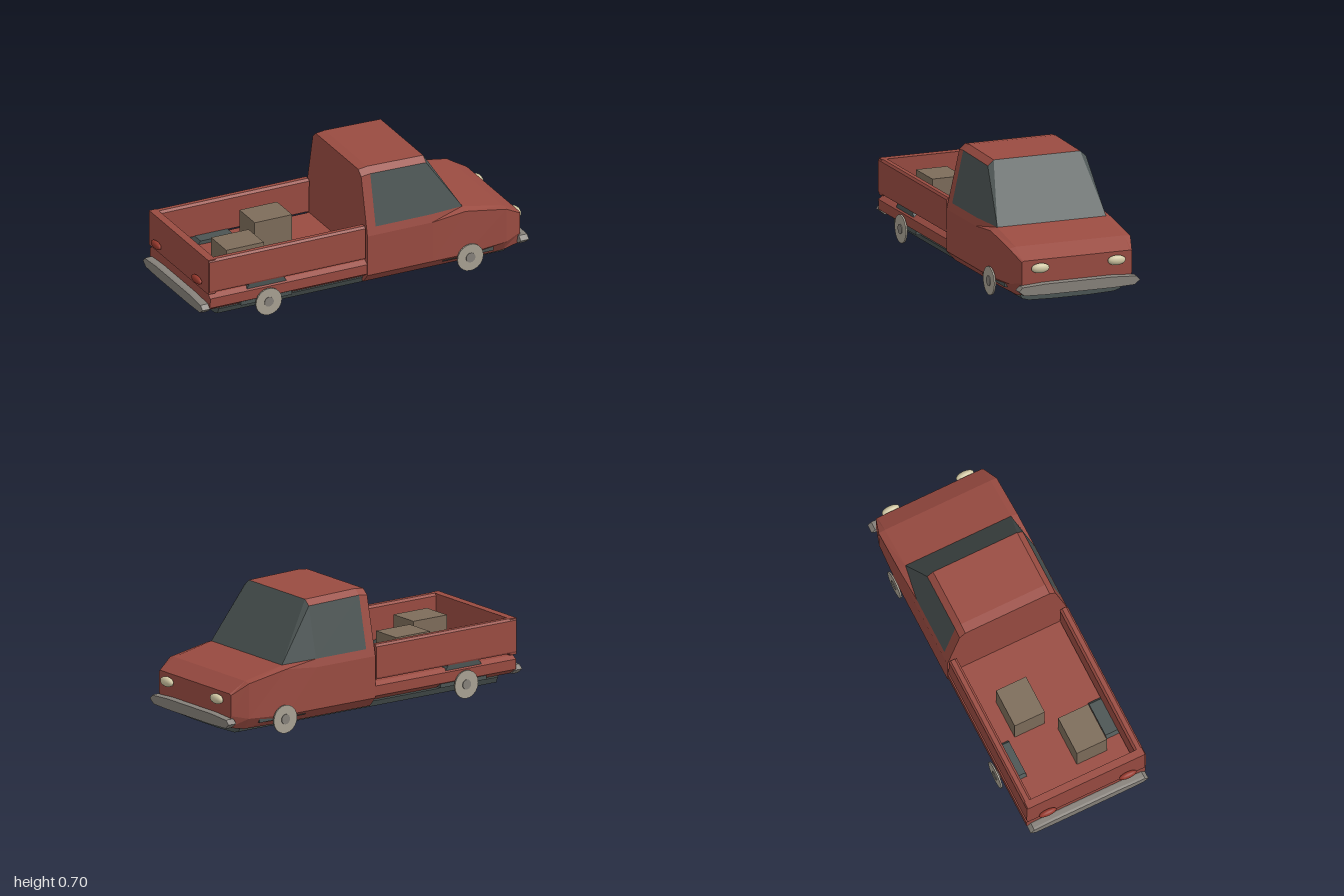
import * as THREE from 'three';

const material = (name, color) => {
  const m = new THREE.MeshStandardMaterial({ color });
  m.name = name;
  return m;
};

// Mirrors a half section of [z, y] points, bottom to top, into a closed ring.
const mirrorRing = (half) => [...half, ...half.map(([z, y]) => [-z, y]).reverse()];

// Skins rings of [z, y] points placed along x. pick(section, edge) gives the material index.
function loft(sections, pick = () => 0) {
  const rings = sections.map(([x, ring]) => ring.map(([z, y]) => new THREE.Vector3(x, y, z)));
  const n = rings[0].length;
  const buckets = [[], []];
  const tri = (k, a, b, c) => {
    const area = b.clone().sub(a).cross(c.clone().sub(a)).length();
    if (area > 1e-7) buckets[k].push(...a.toArray(), ...b.toArray(), ...c.toArray());
  };
  for (let i = 0; i < rings.length - 1; i++) {
    for (let j = 0; j < n; j++) {
      const k = pick(i, j), j2 = (j + 1) % n;
      const a = rings[i][j], b = rings[i][j2], c = rings[i + 1][j2], d = rings[i + 1][j];
      tri(k, a, d, c);
      tri(k, a, c, b);
    }
  }
  const first = rings[0], last = rings[rings.length - 1];
  for (let j = 1; j < n - 1; j++) {
    tri(0, first[0], first[j], first[j + 1]);
    tri(0, last[0], last[j + 1], last[j]);
  }
  const geo = new THREE.BufferGeometry();
  geo.setAttribute('position', new THREE.Float32BufferAttribute([...buckets[0], ...buckets[1]], 3));
  geo.addGroup(0, buckets[0].length / 3, 0);
  geo.addGroup(buckets[0].length / 3, buckets[1].length / 3, 1);
  geo.computeVertexNormals();
  return geo;
}

export function createModel() {
  const truck = new THREE.Group();
  truck.name = 'pickupTruck';
  const red = material('bodyRed', 0x994b41);
  const dark = material('darkGlass', 0x4b5453);
  const grey = material('bumperGrey', 0x86817a);
  const pale = material('wheelGrey', 0xa8a193);
  const cream = material('headlightCream', 0xd3caa6);
  const lamp = material('tailLightRed', 0x96382c);
  const brown = material('crateBrown', 0x7d6c5a);

  const add = (name, geo, mat, x = 0, y = 0, z = 0) => {
    const mesh = new THREE.Mesh(geo, mat);
    mesh.name = name;
    mesh.position.set(x, y, z);
    truck.add(mesh);
    return mesh;
  };

  // Cab and bonnet: six points a side - sill, flank, shoulder, belt, eave, roof
  const cabin = (roof) => mirrorRing([
    [0.315, 0.045], [0.365, 0.10], [0.365, 0.335], [0.355, 0.38], [0.29, roof - 0.03], [0.255, roof]]);
  const bonnet = (sill, flank, shoulder, top) => mirrorRing([sill, flank, shoulder, top, top, top]);
  const cab = [
    [0, cabin(0.693)],
    [0.055, cabin(0.70)],
    [0.395, cabin(0.693)],
    [0.6, bonnet([0.315, 0.045], [0.365, 0.10], [0.36, 0.355], [0.32, 0.37])],
    [0.85, bonnet([0.312, 0.05], [0.355, 0.115], [0.358, 0.313], [0.32, 0.32])],
    [0.95, bonnet([0.305, 0.07], [0.325, 0.14], [0.325, 0.255], [0.315, 0.262])],
  ];
  const isGlass = (i, j) => (i === 1 && (j === 3 || j === 7)) || (i === 2 && j >= 3 && j <= 7);
  add('cab', loft(cab, (i, j) => (isGlass(i, j) ? 1 : 0)), [red, dark]);

  // Dark underbody
  const under = mirrorRing([[0.1, 0.015], [0.25, 0.02], [0.29, 0.032], [0.305, 0.065], [0.3, 0.09]]);
  add('chassis', loft([[-0.875, under], [0.87, under]]), dark);

  // Lower bed body with bulging flanks
  const lower = mirrorRing([[0.31, 0.075], [0.36, 0.108], [0.362, 0.165], [0.335, 0.183]]);
  add('bedFloor', loft([[-0.955, lower], [0, lower]]), red);

  // Bed walls, raised a sliver above the floor
  const wall = [[0.315, 0.2], [0.357, 0.2], [0.362, 0.21], [0.36, 0.383], [0.35, 0.395],
    [0.325, 0.395], [0.312, 0.383]];
  const mirrored = wall.map(([z, y]) => [-z, y]).reverse();
  add('leftBedWall', loft([[-0.96, wall], [-0.01, wall]]), red);
  add('rightBedWall', loft([[-0.96, mirrored], [-0.01, mirrored]]), red);
  add('tailgate', new THREE.BoxGeometry(0.045, 0.205, 0.71), red, -0.941, 0.2925);

  // Wheel arches and wheels
  const archShape = new THREE.Shape([[-0.155, 0.08], [0.155, 0.08], [0.155, 0.105], [0.115, 0.183],
    [0.1, 0.203], [-0.1, 0.203], [-0.115, 0.183], [-0.155, 0.105]].map((p) => new THREE.Vector2(...p)));
  const archGeo = new THREE.ExtrudeGeometry(archShape, { depth: 0.11, bevelEnabled: false });
  const disc = (r, w) => new THREE.CylinderGeometry(r, r, w, 20).rotateX(Math.PI / 2);
  const wheelGeo = disc(0.079, 0.009), hubGeo = disc(0.028, 0.035);
  for (const [end, x] of [['rear', -0.607], ['front', 0.62]]) {
    for (const s of [1, -1]) {
      const label = end + (s > 0 ? 'Left' : 'Right');
      add(label + 'Arch', archGeo, dark, x, 0, s > 0 ? 0.242 : -0.352);
      add(label + 'Wheel', wheelGeo, pale, x, 0.082, s * 0.3755);
      add(label + 'Hub', hubGeo, grey, x, 0.082, s * 0.366);
    }
  }

  // Bumpers: long tapered bars with softened faces
  const bar = (k) => mirrorRing([[0.2, 0.102 - 0.033 * k], [0.325, 0.102 - 0.028 * k],
    [0.357, 0.102], [0.335, 0.102 + 0.024 * k], [0.2, 0.102 + 0.033 * k]]);
  const bumperGeo = loft([[-0.025, bar(0.9)], [-0.012, bar(1)], [0.012, bar(1)], [0.025, bar(0.9)]]);
  add('frontBumper', bumperGeo, grey, 0.963, 0, 0);
  add('rearBumper', bumperGeo, grey, -0.975, 0, 0);

  // Faceted lamps
  const bulb = new THREE.IcosahedronGeometry(1, 2);
  for (const s of [1, -1]) {
    const side = s > 0 ? 'left' : 'right';
    add(side + 'Headlight', bulb, cream, 0.972, 0.22, s * 0.225).scale.set(0.023, 0.028, 0.053);
    add(side + 'TailLight', bulb, lamp, -0.978, 0.238, s * 0.243).scale.set(0.018, 0.022, 0.053);
  }

  // Cargo crates
  const crate = new THREE.BoxGeometry(0.228, 0.178, 0.182);
  add('frontCrate', crate, brown, -0.377, 0.272, -0.11);
  add('rearCrate', crate, brown, -0.668, 0.268, 0.122);

  return truck;
}
